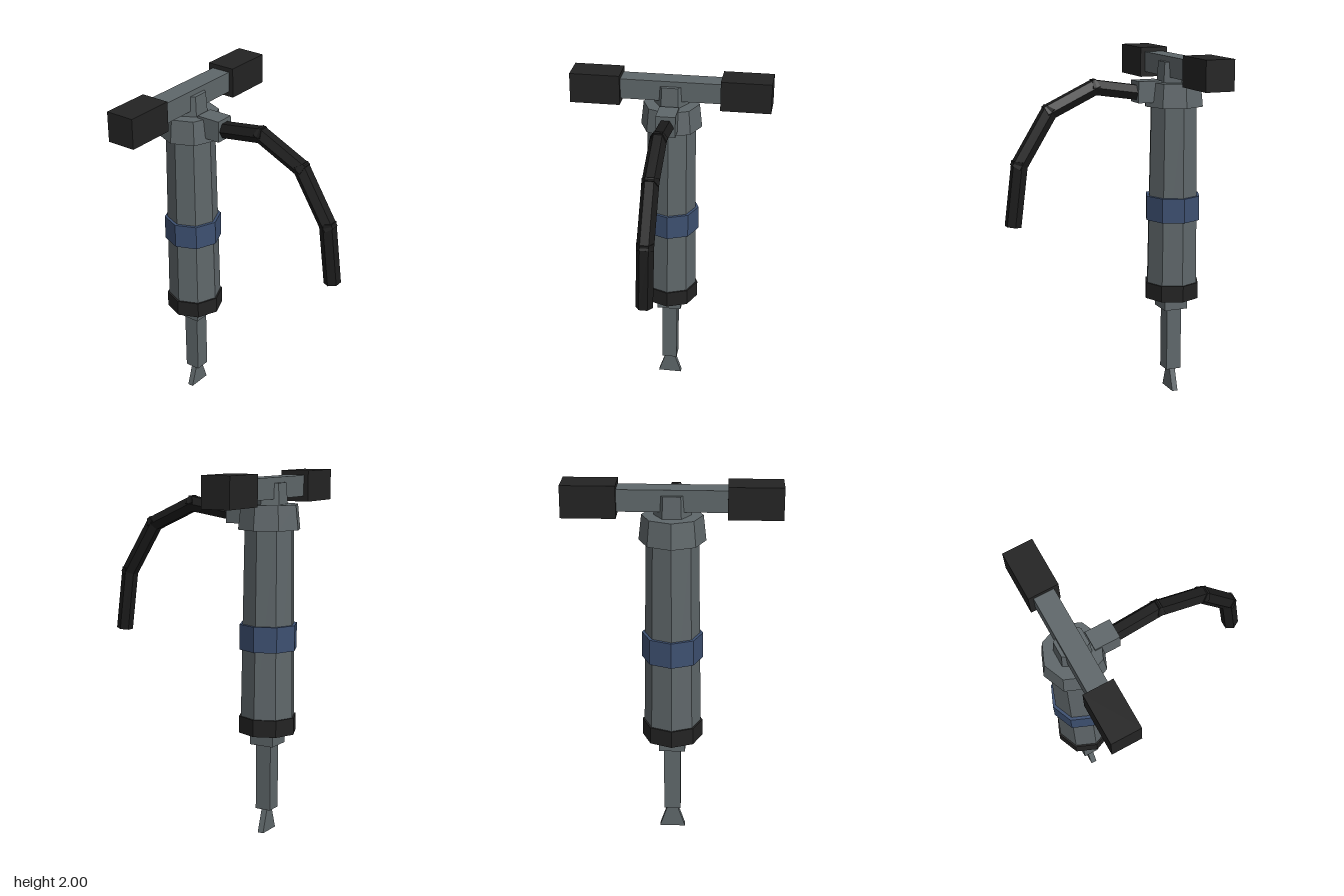
import * as THREE from 'three';

export function createModel() {
  const model = new THREE.Group();
  model.name = 'pneumaticDrill';
  const AXIS_Z = -0.415;

  const material = (name, color) => {
    const m = new THREE.MeshStandardMaterial({ color, flatShading: true });
    m.name = name;
    return m;
  };
  const steel = material('steelGrey', 0x5f676a);
  const rubber = material('gripBlack', 0x232323);
  const hoseBlack = material('hoseBlack', 0x1b1b1b);
  const blue = material('bandBlue', 0x3d5071);

  const add = (name, geometry, mat, x, y, z) => {
    const mesh = new THREE.Mesh(geometry, mat);
    mesh.name = name;
    mesh.position.set(x, y, z);
    model.add(mesh);
    return mesh;
  };
  // Upright prism on the tool axis, from y0 to y1
  const prism = (name, mat, y0, y1, r0, r1, sides = 8, turn = 0) =>
    add(name, new THREE.CylinderGeometry(r1, r0, y1 - y0, sides, 1, false, turn), mat, 0, (y0 + y1) / 2, AXIS_Z);
  // Box from its limits, in x symmetric
  const block = (name, mat, halfX, y0, y1, z0, z1) =>
    add(name, new THREE.BoxGeometry(halfX * 2, y1 - y0, z1 - z0), mat, 0, (y0 + y1) / 2, (z0 + z1) / 2);

  // Barrel with its rings and cap
  prism('barrel', steel, 0.6, 1.72, 0.154, 0.138);
  prism('bottomRing', rubber, 0.573, 0.667, 0.163, 0.163);
  prism('blueBand', blue, 1.04, 1.18, 0.163, 0.163);
  prism('cap', steel, 1.695, 1.83, 0.175, 0.16);

  // Tapered hexagonal post carrying the handle
  prism('handlePost', steel, 1.82, 1.945, 0.098, 0.09, 6, Math.PI / 6);

  // Handle bar and the two grips
  block('handleBar', steel, 0.3, 1.86, 1.975, -0.474, -0.36);
  for (const side of [-1, 1]) {
    add(side > 0 ? 'leftGrip' : 'rightGrip', new THREE.BoxGeometry(0.283, 0.17, 0.168), rubber,
      side * 0.4245, 1.915, -0.417);
  }

  // Chuck, rod and flared chisel blade
  block('chuck', steel, 0.071, 0.503, 0.59, AXIS_Z - 0.071, AXIS_Z + 0.071);
  block('rod', steel, 0.045, 0.13, 0.52, AXIS_Z - 0.045, AXIS_Z + 0.045);
  const blade = new THREE.Shape([[-0.07, 0], [0.07, 0], [0.025, 0.132], [-0.025, 0.132]]
    .map(([x, y]) => new THREE.Vector2(x, y)));
  add('chiselBlade', new THREE.ExtrudeGeometry(blade, { depth: 0.034, bevelEnabled: false }), steel,
    0, 0, AXIS_Z - 0.017);

  // Hose connector on the front of the cap
  block('hoseConnector', steel, 0.055, 1.722, 1.843, -0.317, -0.175);

  // Hose of straight hexagonal lengths, overlapping at the bends; points are [z, y]
  const path = [[-0.2, 1.776], [0.07, 1.817], [0.332, 1.695], [0.508, 1.41], [0.55, 1.07]];
  const overlap = 0.022;
  for (let i = 0; i < path.length - 1; i++) {
    const [z0, y0] = path[i];
    const [z1, y1] = path[i + 1];
    const dz = z1 - z0, dy = y1 - y0;
    const length = Math.hypot(dz, dy);
    const start = i > 0 ? overlap : 0;
    const end = i < path.length - 2 ? overlap : 0;
    const shift = (end - start) / 2 / length;
    const part = add('hoseSegment' + (i + 1),
      new THREE.CylinderGeometry(0.047, 0.047, length + start + end, 6, 1, false, Math.PI / 6), hoseBlack,
      0, (y0 + y1) / 2 + dy * shift, (z0 + z1) / 2 + dz * shift);
    part.rotation.x = Math.atan2(dz, dy);
  }

  return model;
}
